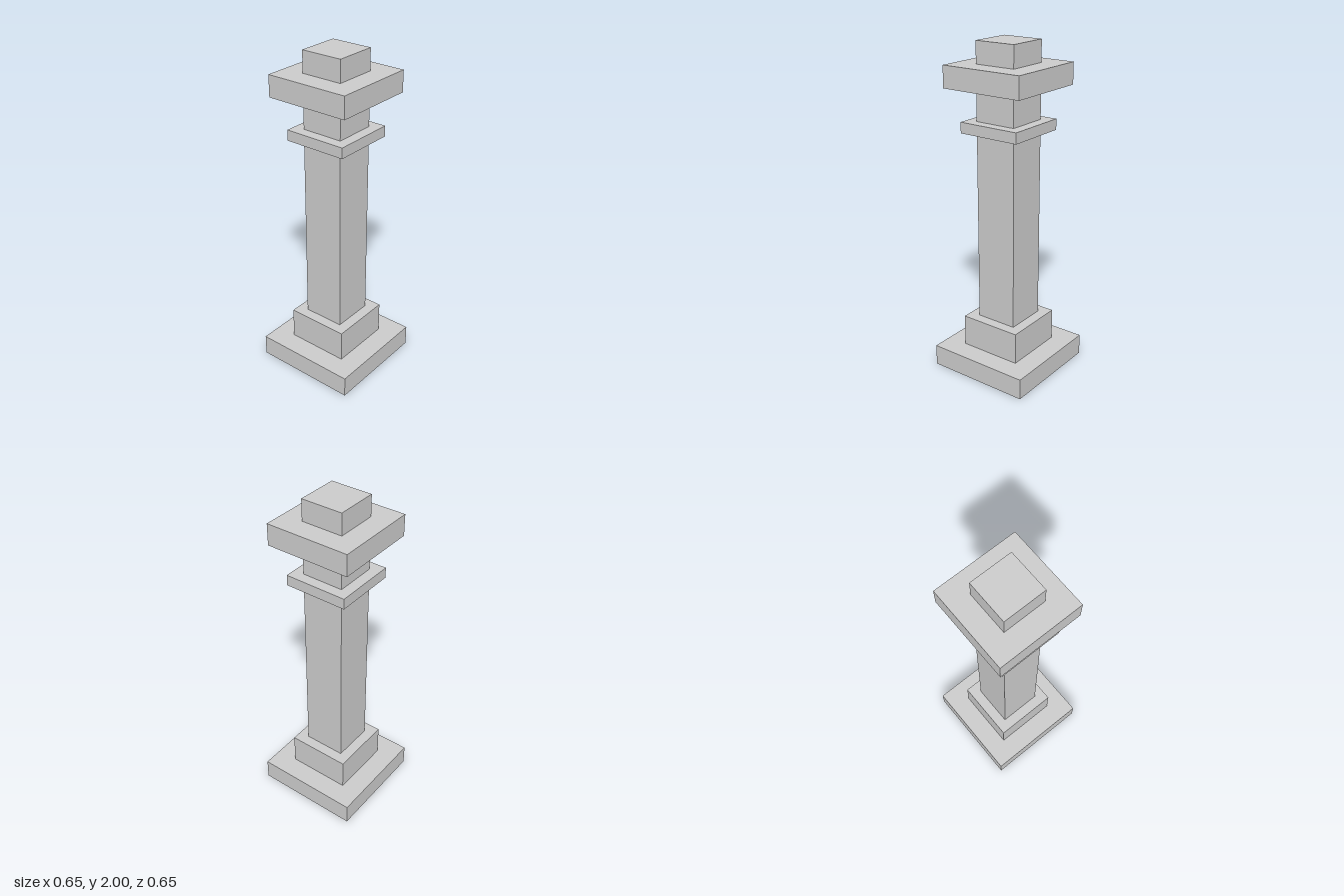
import * as THREE from 'three';

// The pillar is laid out on a grid of 31 equal steps over its height of 2.
const UNIT = 2 / 31;

// Stacked square blocks, bottom to top: name, width, bottom, top (in grid steps)
const BLOCKS = [
  ['base', 10, 0, 2],
  ['plinth', 6, 2, 5],
  ['shaft', 4, 5, 23],
  ['collar', 6, 23, 24],
  ['neck', 4, 24, 27],
  ['capital', 8, 27, 29],
  ['topBlock', 4, 29, 31],
];

export function createModel() {
  const pillar = new THREE.Group();
  pillar.name = 'pillar';
  const material = new THREE.MeshStandardMaterial({ color: 0xcccccc, flatShading: true });

  for (const [name, width, bottom, top] of BLOCKS) {
    const geometry = new THREE.BoxGeometry(width * UNIT, (top - bottom) * UNIT, width * UNIT);
    const block = new THREE.Mesh(geometry, material);
    block.name = name;
    block.position.y = ((bottom + top) / 2) * UNIT;
    pillar.add(block);
  }
  return pillar;
}
